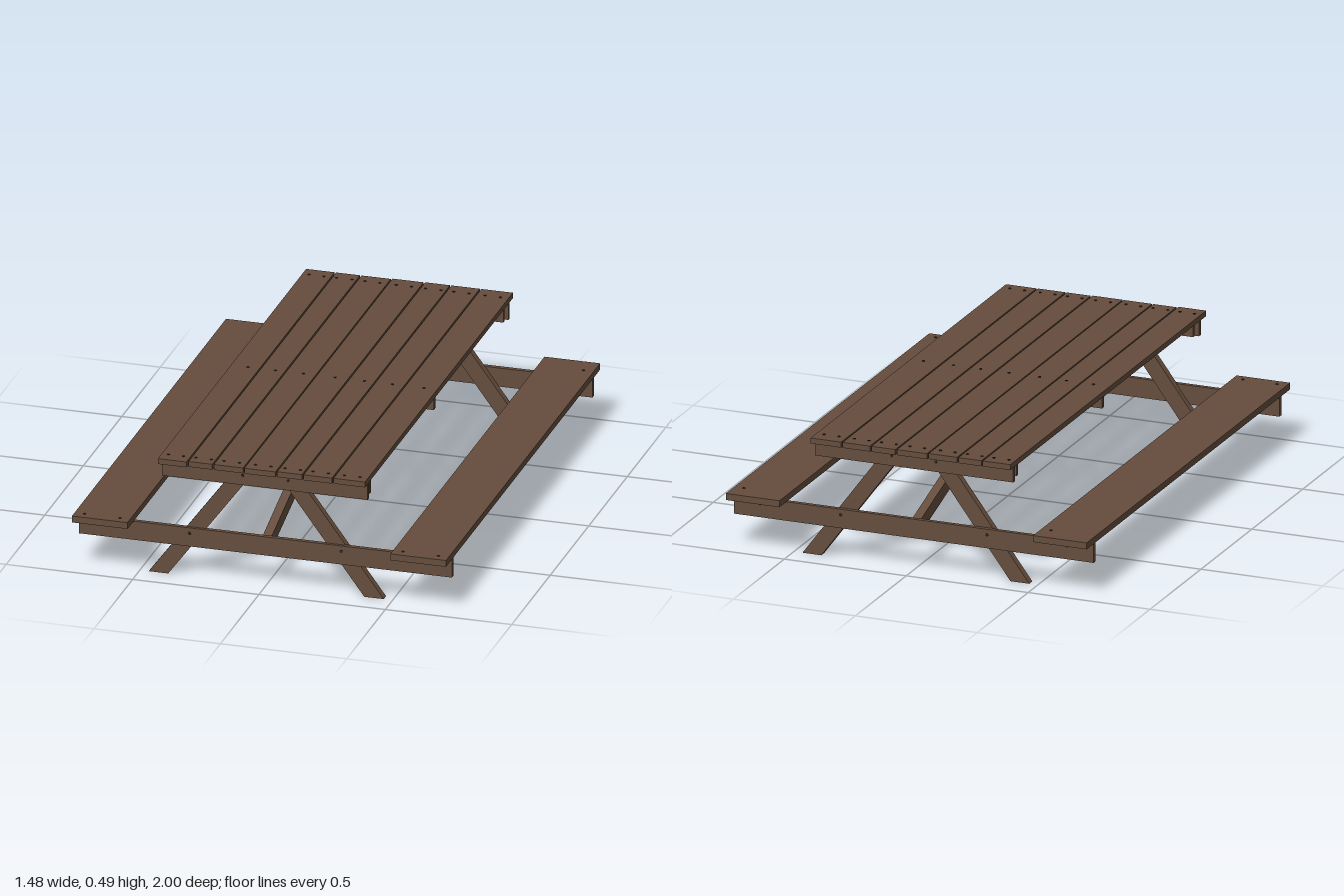
import * as THREE from 'three';

export function createModel() {
  const group = new THREE.Group();
  group.name = 'picnicTable';

  const wood = new THREE.MeshStandardMaterial({ color: 0x654d3d });
  wood.name = 'brown wood';
  const iron = new THREE.MeshStandardMaterial({ color: 0x2e231c });
  iron.name = 'dark nail';

  const add = (name, geometry, material = wood) => {
    const mesh = new THREE.Mesh(geometry, material);
    mesh.name = name;
    group.add(mesh);
    return mesh;
  };

  // Board given by its lower and upper limits on each axis
  const board = (name, x0, x1, y0, y1, z0, z1) => {
    const mesh = add(name, new THREE.BoxGeometry(x1 - x0, y1 - y0, z1 - z0));
    mesh.position.set((x0 + x1) / 2, (y0 + y1) / 2, (z0 + z1) / 2);
  };

  // Slanted timber: outline in a plane, pulled to a thickness centred on it
  const timber = (name, points, thickness) => {
    const shape = new THREE.Shape(points.map(([a, b]) => new THREE.Vector2(a, b)));
    const geometry = new THREE.ExtrudeGeometry(shape, { depth: thickness, bevelEnabled: false });
    geometry.translate(0, 0, -thickness / 2);
    return add(name, geometry);
  };

  // Nail head, flat on a top face or on an end face (facing = +1 / -1 in z)
  const nailGeometry = new THREE.CylinderGeometry(0.006, 0.006, 0.004, 8);
  const nail = (x, y, z, facing = 0) => {
    const mesh = add('nail', nailGeometry, iron);
    mesh.position.set(x, y, z);
    mesh.rotation.x = facing * Math.PI / 2;
  };

  // Table top planks: left edge, right edge, back end, front end
  const planks = [
    [-0.413, -0.3, -0.967, 0.957],
    [-0.294, -0.2, -0.967, 0.95],
    [-0.194, -0.078, -0.967, 0.95],
    [-0.073, 0.05, -0.972, 0.951],
    [0.056, 0.154, -0.974, 0.947],
    [0.16, 0.272, -0.974, 0.947],
    [0.278, 0.403, -0.974, 0.946],
  ];
  for (const [x0, x1, z0, z1] of planks) {
    board('topPlank', x0, x1, 0.468, 0.49, z0, z1);
    const middle = (x0 + x1) / 2;
    for (const z of [-0.918, 0.906]) {
      nail(middle - 0.03, 0.49, z);
      nail(middle + 0.03, 0.49, z);
    }
    nail(middle + 0.01, 0.49, 0.008);
  }

  // Batten under the middle of the top
  board('middleBatten', -0.39, 0.39, 0.405, 0.468, -0.01, 0.01);

  // Benches with a stiffening beam underneath
  for (const side of [-1, 1]) {
    const x = side * 0.63;
    board('benchSeat', x - 0.11, x + 0.11, 0.205, 0.231, -1, 1);
    board('benchBeam', x - 0.016, x + 0.016, 0.13, 0.206, -0.91, 0.9);
    nail(x - 0.07, 0.231, 0.965);
    nail(x + 0.07, 0.231, 0.965);
    nail(x + 0.07, 0.231, -0.918);
  }

  // End frames: bench carrier, top supports, splayed legs and long brace
  for (const end of [-1, 1]) {
    const outer = end > 0 ? 0.917 : -0.926;
    const inner = end > 0 ? 0.899 : -0.908;
    const [z0, z1] = [Math.min(outer, inner), Math.max(outer, inner)];
    board('benchCarrier', -0.738, 0.738, 0.127, 0.203, z0, z1);
    board('topSupport', -0.408, 0.405, 0.405, 0.468, z0, z1);
    const inside = end * 0.868;
    board('innerTopSupport', -0.4, 0.4, 0.413, 0.468, inside - 0.008, inside + 0.008);

    for (const side of [-1, 1]) {
      const leg = timber('leg', [
        [side * 0.465, 0], [side * 0.388, 0], [side * 0.042, 0.466], [side * 0.119, 0.466],
      ], 0.03);
      leg.position.z = end * 0.89;
      nail(side * 0.63, 0.18, outer, end);
      nail(side * 0.3, 0.18, outer, end);
      nail(side * 0.09, 0.445, outer, end);
    }

    // Brace rises from the bench carrier to the middle batten
    const brace = timber('longBrace', [
      [0, 0.405], [0.9, 0.142], [0.9, 0.195], [0.015, 0.462], [0, 0.462],
    ], 0.035);
    brace.rotation.y = -end * Math.PI / 2;
  }

  return group;
}
